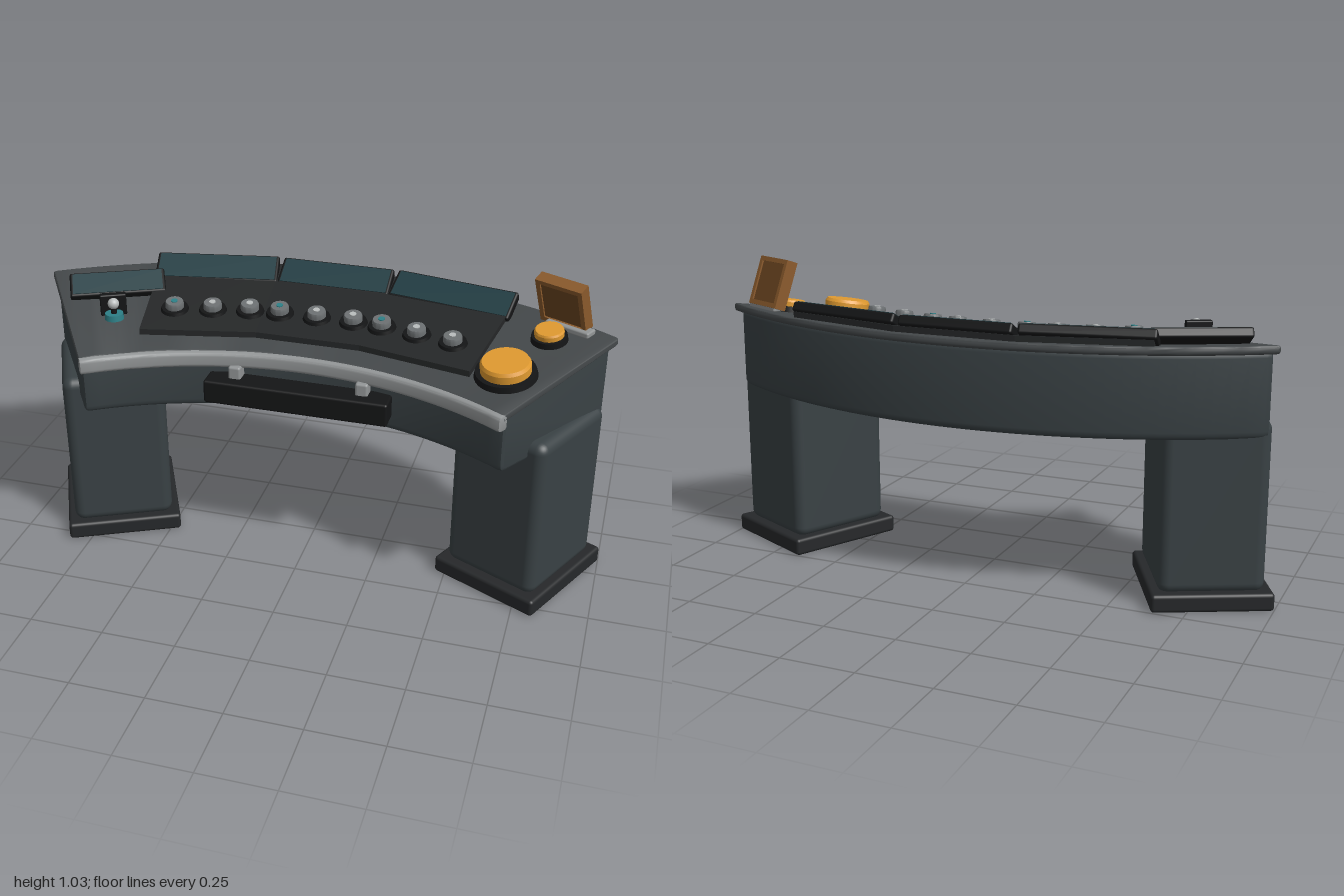
import * as THREE from 'three';
import { RoundedBoxGeometry } from 'three/addons/geometries/RoundedBoxGeometry.js';
import { toCreasedNormals } from 'three/addons/utils/BufferGeometryUtils.js';

const C = 1.41;      // z of the centre of the desk's arcs
const SLOPE = 0.157; // rise of the desk top per unit of radius
const topY = (x, z) => 0.775 + SLOPE * (Math.hypot(x, C - z) - 1.25);

const material = (color) => new THREE.MeshStandardMaterial({ color });
const mats = {
  body: material(0x394144), slab: material(0x44484a), foot: material(0x26282a), panel: material(0x252728),
  black: material(0x141516), rail: material(0x929596), knob: material(0x6c7072), pale: material(0xb8bcbc),
  teal: material(0x1d3a40), tealBright: material(0x2d7f86), orange: material(0xe09a30),
  wood: material(0x8a5a2c), woodDark: material(0x6b4520),
};

function add(parent, name, geometry, mat, x = 0, y = 0, z = 0) {
  const mesh = new THREE.Mesh(geometry, mat);
  mesh.name = name;
  mesh.position.set(x, y, z);
  parent.add(mesh);
  return mesh;
}

// Closed outline with rounded corners
function roundedShape(points, radius) {
  const p = points.map(([x, y]) => new THREE.Vector2(x, y));
  const shape = new THREE.Shape();
  p.forEach((corner, i) => {
    const toward = (q) => corner.clone().add(q.clone().sub(corner).setLength(radius));
    const a = toward(p[(i + p.length - 1) % p.length]);
    const b = toward(p[(i + 1) % p.length]);
    if (i === 0) shape.moveTo(a.x, a.y);
    else shape.lineTo(a.x, a.y);
    shape.quadraticCurveTo(corner.x, corner.y, b.x, b.y);
  });
  shape.closePath();
  return shape;
}

// Sweeps a (radius, height) profile around the desk's centre
function arcSolid(profile, half, radius, bevel) {
  const geo = new THREE.ExtrudeGeometry(roundedShape(profile, radius), {
    depth: 2 * (half - bevel), steps: 36, curveSegments: 4,
    bevelEnabled: true, bevelThickness: bevel, bevelSize: bevel, bevelOffset: -bevel, bevelSegments: 2,
  });
  const pos = geo.attributes.position;
  for (let i = 0; i < pos.count; i++) {
    const r = pos.getX(i), a = pos.getZ(i) - half + bevel;
    pos.setXYZ(i, r * Math.sin(a), pos.getY(i), C - r * Math.cos(a));
  }
  return toCreasedNormals(geo, 0.6);
}

// Thin plate laid on the sloping top; corners are [x, z]
function plate(corners, lift) {
  const shape = new THREE.Shape(corners.map(([x, z]) => new THREE.Vector2(x, -z)));
  const geo = new THREE.ExtrudeGeometry(shape, { depth: lift, bevelEnabled: false }).rotateX(-Math.PI / 2);
  const pos = geo.attributes.position;
  for (let i = 0; i < pos.count; i++) pos.setY(i, pos.getY(i) + topY(pos.getX(i), pos.getZ(i)));
  geo.computeVertexNormals();
  return geo;
}

// Group resting on the sloping top, facing the seat
function station(parent, name, x, z, lift, turn = -Math.atan2(x, C - z), tilt = 0.155) {
  const group = new THREE.Group();
  group.name = name;
  group.position.set(x, topY(x, z) + lift, z);
  group.rotation.set(tilt, turn, 0, 'YXZ');
  parent.add(group);
  return group;
}

const disc = (rTop, rBottom, h) => new THREE.CylinderGeometry(rTop, rBottom, h, 32);

// Low button with a softened top edge
function cap(r, h) {
  const pts = [[0, 0], [r, 0], [r, h * 0.7], [r * 0.92, h], [0, h]].map(([x, y]) => new THREE.Vector2(x, y));
  return toCreasedNormals(new THREE.LatheGeometry(pts, 32), 0.5);
}

function addScreen(parent, name, x, z, width, depth, turn) {
  const g = station(parent, name, x, z, 0.024, turn, 0.5);
  add(g, name + 'Frame', new RoundedBoxGeometry(width, 0.035, depth, 2, 0.008), mats.black);
  add(g, name + 'Glass', new THREE.BoxGeometry(width - 0.02, 0.006, depth - 0.016), mats.teal, 0, 0.0165, 0);
}

export function createModel() {
  const root = new THREE.Group();
  root.name = 'curvedConsoleDesk';

  // Curved body, top and front rail
  add(root, 'deskBody', arcSolid([[1.268, 0.56], [1.768, 0.56], [1.768, 0.842], [1.268, 0.763]], 0.573, 0.025, 0.012), mats.body);
  add(root, 'deskTop', arcSolid([[1.25, 0.747], [1.79, 0.832], [1.79, 0.86], [1.25, 0.775]], 0.58, 0.01, 0.006), mats.slab);
  add(root, 'frontRail', arcSolid([[1.235, 0.72], [1.272, 0.72], [1.272, 0.776], [1.235, 0.772]], 0.58, 0.013, 0.004), mats.rail);

  // Pedestals
  for (const side of [-1, 1]) {
    const leg = new THREE.Group();
    leg.name = side > 0 ? 'leftPedestal' : 'rightPedestal';
    leg.position.set(side * 0.733, 0, 0.023);
    leg.rotation.y = -side * 0.45;
    root.add(leg);
    add(leg, 'column', new RoundedBoxGeometry(0.345, 0.57, 0.37, 4, 0.035), mats.body, 0, 0.335, 0);
    add(leg, 'foot', new RoundedBoxGeometry(0.395, 0.06, 0.425, 3, 0.012), mats.foot, 0, 0.03, 0);
  }

  // Hanging tray under the rail
  add(root, 'tray', new RoundedBoxGeometry(0.615, 0.08, 0.09, 2, 0.008), mats.black, 0, 0.65, 0.205);
  for (const side of [-1, 1]) {
    add(root, 'trayBracket', new RoundedBoxGeometry(0.042, 0.05, 0.05, 2, 0.008), mats.rail, side * 0.213, 0.706, 0.185);
  }

  // Control panel in three flat sections
  add(root, 'centrePanel', plate([[-0.175, 0.09], [0.175, 0.09], [0.21, -0.33], [-0.21, -0.33]], 0.02), mats.panel);
  for (const s of [-1, 1]) {
    add(root, 'sidePanel', plate([[s * 0.175, 0.09], [s * 0.55, 0.177], [s * 0.63, -0.25], [s * 0.21, -0.33]], 0.02), mats.panel);
  }

  // Screens
  addScreen(root, 'centreScreen', 0, -0.272, 0.395, 0.115, 0);
  for (const s of [-1, 1]) addScreen(root, 'sideScreen', s * 0.418, -0.232, 0.43, 0.115, -s * 0.185);
  addScreen(root, 'endScreen', -0.715, -0.04, 0.325, 0.1, 0.43);

  // Row of knobs
  const knobs = [[-0.478, 0.035], [-0.353, 0.006], [-0.23, -0.02], [-0.128, -0.03], [0, -0.03],
    [0.125, -0.03], [0.224, -0.02], [0.346, 0.006], [0.47, 0.036]];
  knobs.forEach(([x, z], i) => {
    const g = station(root, 'knob', x, z, 0.02);
    add(g, 'knobBase', disc(0.044, 0.048, 0.012), mats.black, 0, 0.006, 0);
    add(g, 'knobGrip', cap(0.031, 0.022), mats.knob, 0, 0.012, 0);
    add(g, 'knobDot', disc(0.011, 0.011, 0.004), [0, 3, 6].includes(i) ? mats.tealBright : mats.pale, 0, 0.035, 0);
  });

  // Orange push buttons
  for (const [name, x, z, r, h] of [['largeButton', 0.66, 0.155, 0.08, 0.036], ['smallButton', 0.765, -0.055, 0.048, 0.022]]) {
    const g = station(root, name, x, z, 0);
    add(g, name + 'Base', disc(r * 1.2, r * 1.25, 0.02), mats.black, 0, 0.01, 0);
    add(g, name + 'Cap', cap(r, h), mats.orange, 0, 0.02, 0);
  }

  // Lever block with upright back plate
  const lever = station(root, 'lever', -0.672, 0.1, 0, 0.45, 0);
  add(lever, 'leverPlate', new RoundedBoxGeometry(0.088, 0.075, 0.025, 2, 0.005), mats.black, 0, 0.038, -0.01);
  add(lever, 'leverCollar', disc(0.03, 0.032, 0.02), mats.tealBright, 0, 0.012, 0.028);
  add(lever, 'leverStem', disc(0.01, 0.01, 0.04), mats.black, 0, 0.035, 0.028);
  add(lever, 'leverBall', new THREE.SphereGeometry(0.019, 20, 14), mats.pale, 0, 0.056, 0.028);

  // Leaning wooden frame on a small stand
  const frame = new THREE.Group();
  frame.name = 'woodenFrame';
  frame.position.set(0.795, 0.945, -0.115);
  frame.rotation.set(0.35, -0.44, 0, 'YXZ');
  root.add(frame);
  add(frame, 'frameCore', new THREE.BoxGeometry(0.15, 0.15, 0.03), mats.woodDark);
  for (const s of [-1, 1]) {
    add(frame, 'frameStile', new THREE.BoxGeometry(0.016, 0.172, 0.042), mats.wood, s * 0.077, 0, 0);
    add(frame, 'frameRail', new THREE.BoxGeometry(0.14, 0.016, 0.042), mats.wood, 0, s * 0.078, 0);
  }
  const stand = add(root, 'frameStand', new RoundedBoxGeometry(0.16, 0.02, 0.05, 2, 0.006), mats.rail, 0.822, 0.862, -0.115);
  stand.rotation.y = -0.44;

  return root;
}
